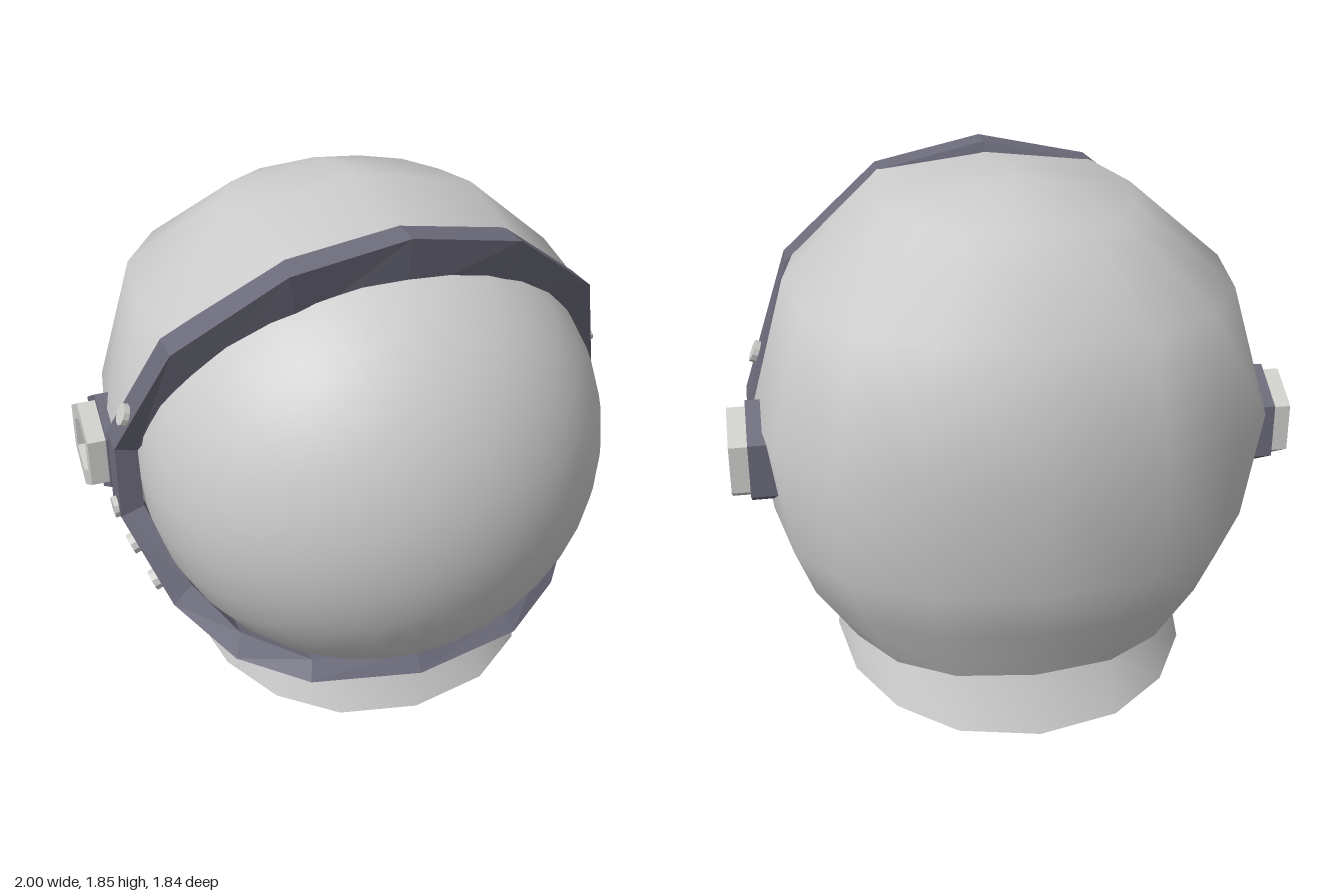
import * as THREE from 'three';
import { mergeVertices } from 'three/addons/utils/BufferGeometryUtils.js';

const shellMat = new THREE.MeshStandardMaterial({ color: 0xcccccc, side: THREE.DoubleSide });
shellMat.name = 'light grey';
const bandMat = new THREE.MeshStandardMaterial({ color: 0x6c6b7b, flatShading: true });
bandMat.name = 'dark slate';
const trimMat = new THREE.MeshStandardMaterial({ color: 0xcfcfcc, flatShading: true });
trimMat.name = 'trim grey';

// Surface through rows of points; optionally closed along rows or columns
function loft(rows, closeRows = false, closeCols = false) {
  const R = rows.length, C = rows[0].length, idx = [];
  for (let r = 0; r < (closeRows ? R : R - 1); r++) {
    for (let c = 0; c < (closeCols ? C : C - 1); c++) {
      const r2 = (r + 1) % R, c2 = (c + 1) % C;
      const a = r * C + c, b = r * C + c2, d = r2 * C + c, e = r2 * C + c2;
      idx.push(a, b, d, b, e, d);
    }
  }
  let g = new THREE.BufferGeometry();
  g.setAttribute('position', new THREE.Float32BufferAttribute(rows.flat(2), 3));
  g.setIndex(idx);
  g = mergeVertices(g, 1e-4);
  g.computeVertexNormals();
  return g;
}

// Slightly squared ellipse point, from +x round the back (-z)
function squircle(t, w, d) {
  const f = (v) => Math.sign(v) * Math.pow(Math.abs(v), 2 / 2.3);
  return [w * f(Math.cos(t)), -d * f(Math.sin(t))];
}
const mirrorX = ([x, y, z]) => [-x, y, z];

function add(parent, name, geometry, material) {
  const m = new THREE.Mesh(geometry, material);
  m.name = name;
  parent.add(m);
  return m;
}

// Helmet shell: open rings from the visor frame round the back
function shellGeometry() {
  // y, front x, front z, half width, z of widest point, back z
  const rings = [
    [0.19, 0.52, 0.33, 0.63, -0.09, -0.71],
    [0.42, 0.77, 0.16, 0.79, -0.08, -0.81],
    [0.61, 0.84, 0.06, 0.86, -0.10, -0.88],
    [1.02, 0.89, 0.00, 0.915, -0.14, -0.92],
    [1.48, 0.73, 0.21, 0.78, -0.08, -0.88],
    [1.74, 0.40, 0.35, 0.45, -0.05, -0.53],
  ];
  const halves = rings.map(([y, fx, fz, w, zw, zb]) => {
    const half = [[fx, y, fz]];
    for (let i = 0; i <= 4; i++) {
      const [x, z] = squircle(i * Math.PI / 8, w, zw - zb);
      half.push([i === 4 ? 0 : x, y, zw + z]);
    }
    return half;
  });
  halves[5][1][1] = 1.76;
  // crest line
  halves.push([[0, 1.78, 0.38], [0, 1.85, -0.05], [0, 1.835, -0.2],
    [0, 1.80, -0.35], [0, 1.77, -0.46], [0, 1.74, -0.53]]);
  return loft(halves.map((h) => [...h, ...h.slice(0, -1).reverse().map(mirrorX)]));
}

// Visor frame: four-cornered section carried round the opening
function frameGeometry() {
  // outer front, outer back, inner front
  const half = [
    [[0, 1.82, 0.49], [0, 1.82, 0.375], [0, 1.60, 0.44]],
    [[0.40, 1.74, 0.46], [0.40, 1.74, 0.335], [0.36, 1.54, 0.40]],
    [[0.76, 1.46, 0.31], [0.76, 1.46, 0.18], [0.68, 1.34, 0.28]],
    [[0.93, 1.02, 0.09], [0.93, 1.02, -0.04], [0.85, 1.00, 0.09]],
    [[0.93, 0.74, 0.09], [0.93, 0.74, -0.04], [0.845, 0.77, 0.09]],
    [[0.80, 0.43, 0.25], [0.80, 0.41, 0.12], [0.73, 0.50, 0.25]],
    [[0.63, 0.28, 0.44], [0.63, 0.23, 0.33], [0.60, 0.36, 0.40]],
    [[0.40, 0.22, 0.59], [0.40, 0.165, 0.48], [0.38, 0.28, 0.54]],
    [[0, 0.19, 0.65], [0, 0.14, 0.57], [0, 0.26, 0.60]],
  ];
  const rows = half.map(([f, b, i]) => [b, f, i, [i[0], i[1], i[2] - 0.13]]);
  const other = rows.slice(1, -1).reverse().map((r) => r.map(mirrorX));
  return loft([...rows, ...other], true, true);
}

// Collar ring; the lower rim rises toward the sides
function collarRing(w, d, yAt) {
  return Array.from({ length: 16 }, (_, i) => {
    const [x, z] = squircle(i * Math.PI / 8, w, d);
    return [x, yAt(x), z - 0.09];
  });
}

function hexShape(r) {
  const pts = [];
  for (let i = 0; i < 6; i++) {
    const a = Math.PI / 2 + i * Math.PI / 3;
    pts.push(new THREE.Vector2(r * Math.cos(a), r * Math.sin(a)));
  }
  return pts;
}

// Hexagonal prism along +x between two x positions, with an optional hole
function hexPrism(r, x0, x1, hole = 0) {
  const s = new THREE.Shape(hexShape(r));
  if (hole) s.holes.push(new THREE.Path(hexShape(hole).reverse()));
  return new THREE.ExtrudeGeometry(s, { depth: x1 - x0, bevelEnabled: false })
    .rotateY(Math.PI / 2).translate(x0, 0.895, -0.195);
}

export function createModel() {
  const model = new THREE.Group();
  model.name = 'spaceHelmet';

  add(model, 'shell', shellGeometry(), shellMat);

  // Bulging visor
  const visor = new THREE.SphereGeometry(1, 32, 16, 0, Math.PI * 2, 0, Math.PI * 0.56)
    .rotateX(Math.PI / 2).scale(0.85, 0.83, 0.79).translate(0, 0.91, 0.13);
  add(model, 'visor', visor, shellMat);

  add(model, 'visorFrame', frameGeometry(), bandMat);

  // Neck collar and underside
  const rim = collarRing(0.65, 0.70, (x) => 0.09 * (x / 0.65) ** 2);
  const neck = collarRing(0.63, 0.62, () => 0.2);
  const centre = rim.map(() => [0, 0.01, -0.09]);
  add(model, 'collar', loft([rim, neck], false, true), shellMat);
  add(model, 'underside', loft([centre, rim], false, true), shellMat);

  // Ear pieces and rivets on both sides
  const rivets = [[0.88, 1.15, 0.095, 0.39], [0.925, 0.75, 0.03, -0.1],
    [0.885, 0.62, 0.085, -0.39], [0.832, 0.49, 0.15, -0.39]];
  for (const [side, turn] of [['left', 0], ['right', Math.PI]]) {
    const ear = new THREE.Group();
    ear.name = side + 'EarPiece';
    const flip = (g) => (turn ? g.translate(0, 0, 0.195).rotateY(turn).translate(0, 0, -0.195) : g);
    add(ear, 'earBase', flip(hexPrism(0.195, 0.76, 0.935)), bandMat);
    add(ear, 'earCap', flip(hexPrism(0.172, 0.93, 1.0, 0.11)), trimMat);
    add(ear, 'earRecess', flip(hexPrism(0.115, 0.93, 0.965)), trimMat);
    model.add(ear);

    const s = turn ? -1 : 1;
    for (const [x, y, z, tilt] of rivets) {
      const rivet = add(model, side + 'Rivet', new THREE.CylinderGeometry(0.04, 0.04, 0.04, 10), trimMat);
      rivet.position.set(s * x, y, z);
      rivet.rotation.z = s * (tilt - Math.PI / 2);
    }
  }
  return model;
}
